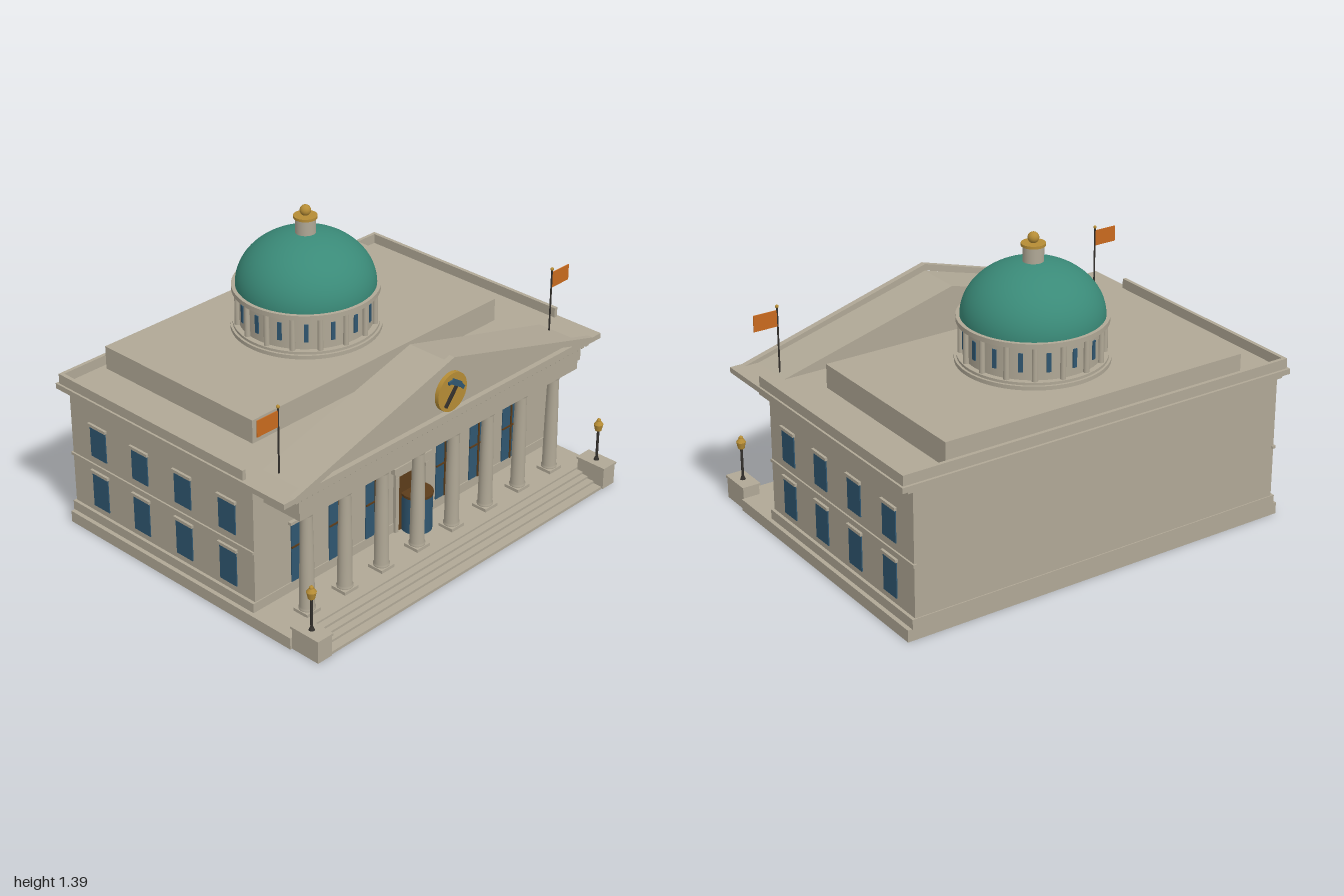
import * as THREE from 'three';

const paint = (name, color) => {
  const m = new THREE.MeshStandardMaterial({ color });
  m.name = name;
  return m;
};

export function createModel() {
  const model = new THREE.Group();
  model.name = 'domedBuilding';
  const stone = paint('stone', 0xb0a896);
  const copper = paint('green copper', 0x3a8a78);
  const glass = paint('blue glass', 0x2f5670);
  const gold = paint('gold', 0xb58c35);
  const wood = paint('brown wood', 0x5c3c1a);
  const iron = paint('dark iron', 0x33302c);
  const cloth = paint('orange cloth', 0xc86a1e);

  const add = (name, geo, mat, x = 0, y = 0, z = 0) => {
    const mesh = new THREE.Mesh(geo, mat);
    mesh.name = name;
    mesh.position.set(x, y, z);
    model.add(mesh);
    return mesh;
  };
  // Box given by its limits on each axis
  const box = (name, mat, x0, x1, y0, y1, z0, z1) =>
    add(name, new THREE.BoxGeometry(x1 - x0, y1 - y0, z1 - z0), mat, (x0 + x1) / 2, (y0 + y1) / 2, (z0 + z1) / 2);
  // Upright cylinder from y0 to y1
  const cyl = (name, mat, rBottom, rTop, x, y0, y1, z, sides = 24) =>
    add(name, new THREE.CylinderGeometry(rTop, rBottom, y1 - y0, sides), mat, x, (y0 + y1) / 2, z);
  const ball = (name, mat, r, x, y, z) => add(name, new THREE.SphereGeometry(r, 20, 14), mat, x, y, z);

  // Base and main block
  box('platform', stone, -0.975, 0.975, 0, 0.055, -0.76, 0.625);
  box('plinth', stone, -0.955, 0.955, 0.055, 0.1, -0.765, 0.39);
  box('walls', stone, -0.94, 0.94, 0.1, 0.68, -0.76, 0.385);
  box('cornice', stone, -0.998, 0.998, 0.685, 0.71, -0.777, 0.625);
  box('corniceBed', stone, -0.965, 0.965, 0.67, 0.685, -0.765, 0.605);

  // Front steps
  [0.66, 0.69, 0.725, 0.77].forEach((z, i) =>
    box('step', stone, -0.88, 0.88, 0, 0.046 - i * 0.011, 0.62, z));

  // Roof parapet and attic
  for (const s of [-1, 1]) {
    const xs = [s * 0.97, s * 0.988].sort((a, b) => a - b);
    box('sideParapet', stone, ...xs, 0.71, 0.757, -0.765, 0.38);
  }
  box('backParapet', stone, -0.97, 0.97, 0.71, 0.757, -0.765, -0.748);
  box('attic', stone, -0.76, 0.76, 0.71, 0.82, -0.72, 0.2);

  // Side windows with lintels and sills, and the string course
  for (const s of [-1, 1]) {
    const side = (name, mat, out, y0, y1, z0, z1) =>
      box(name, mat, s > 0 ? 0.93 : -0.94 - out, s > 0 ? 0.94 + out : -0.93, y0, y1, z0, z1);
    side('stringCourse', stone, 0.008, 0.335, 0.348, -0.767, 0.385);
    for (const z of [0.23, -0.04, -0.31, -0.58]) {
      for (const [y0, y1] of [[0.13, 0.3], [0.385, 0.535]]) {
        side('sideWindow', glass, 0.005, y0, y1, z - 0.05, z + 0.05);
        side('windowLintel', stone, 0.012, y1, y1 + 0.014, z - 0.057, z + 0.057);
      }
    }
  }

  // Tall front windows with glazing bars
  for (const s of [-1, 1]) {
    for (let i = 1; i <= 3; i++) {
      const x = s * i * 0.2246;
      box('frontWindow', glass, x - 0.056, x + 0.056, 0.1, 0.39, 0.38, 0.39);
      box('windowMullion', wood, x - 0.004, x + 0.004, 0.1, 0.39, 0.385, 0.395);
      box('windowTransom', wood, x - 0.056, x + 0.056, 0.268, 0.276, 0.385, 0.394);
      box('frontLintel', stone, x - 0.07, x + 0.07, 0.39, 0.404, 0.38, 0.402);
    }
  }

  // Entrance: panelled doorway and a round glass vestibule
  box('doorPanel', wood, -0.085, 0.085, 0.055, 0.335, 0.38, 0.395);
  for (const s of [-1, 1]) box('doorJamb', stone, s * 0.095 - 0.01, s * 0.095 + 0.01, 0.055, 0.335, 0.38, 0.402);
  box('doorFrieze', stone, -0.105, 0.105, 0.335, 0.36, 0.38, 0.4);
  box('doorCornice', stone, -0.12, 0.12, 0.36, 0.388, 0.38, 0.408);
  cyl('vestibule', glass, 0.07, 0.07, 0, 0.055, 0.232, 0.43, 32);
  cyl('vestibuleCap', wood, 0.073, 0.073, 0, 0.232, 0.244, 0.43, 32);

  // Portico columns
  const shaft = new THREE.LatheGeometry(
    [[0.036, 0.07], [0.037, 0.078], [0.033, 0.084], [0.032, 0.2], [0.03, 0.35], [0.026, 0.525], [0.032, 0.535], [0.034, 0.548]]
      .map(([r, y]) => new THREE.Vector2(r, y)), 24);
  for (let i = 0; i < 8; i++) {
    const x = (i - 3.5) * 0.2246;
    add('columnShaft', shaft, stone, x, 0, 0.535);
    box('columnBase', stone, x - 0.04, x + 0.04, 0.055, 0.07, 0.495, 0.575);
    box('columnCapital', stone, x - 0.037, x + 0.037, 0.548, 0.562, 0.498, 0.572);
  }

  // Entablature with a row of dentils
  box('architrave', stone, -0.88, 0.88, 0.562, 0.615, 0.38, 0.593);
  box('frieze', stone, -0.89, 0.89, 0.608, 0.672, 0.38, 0.6);
  for (let i = 0; i < 60; i++) {
    const x = (i - 29.5) * 0.031;
    box('dentil', stone, x - 0.008, x + 0.008, 0.673, 0.686, 0.6, 0.617);
  }

  // Pediment: roof prism and raking cornice
  const triangle = (Kind, half, base, apex) => {
    const t = new Kind();
    t.moveTo(-half, base);
    t.lineTo(half, base);
    t.lineTo(0, apex);
    t.closePath();
    return t;
  };
  const extrude = (shape, depth) => new THREE.ExtrudeGeometry(shape, { depth, bevelEnabled: false });
  add('pedimentRoof', extrude(triangle(THREE.Shape, 0.89, 0.705, 0.945), 0.225), stone, 0, 0, 0.375);
  const rake = triangle(THREE.Shape, 0.94, 0.71, 0.978);
  rake.holes.push(triangle(THREE.Path, 0.8, 0.719, 0.947));
  add('rakingCornice', extrude(rake, 0.028), stone, 0, 0, 0.597);

  // Round ornament with a plain hammer
  const disc = cyl('ornamentDisc', gold, 0.09, 0.09, 0, 0.8, 0.82, 0.61, 40);
  disc.rotation.x = Math.PI / 2;
  const bar = (name, mat, ax, ay, bx, by, w) => {
    const len = Math.hypot(bx - ax, by - ay);
    const mesh = add(name, new THREE.BoxGeometry(len, w, 0.009), mat, (ax + bx) / 2, (ay + by) / 2, 0.624);
    mesh.rotation.z = Math.atan2(by - ay, bx - ax);
  };
  bar('hammerHandle', iron, -0.048, 0.754, 0.03, 0.848, 0.016);
  bar('hammerHead', glass, -0.008, 0.866, 0.045, 0.832, 0.026);
  bar('hammerPeen', glass, 0.035, 0.842, 0.064, 0.81, 0.016);
  bar('hammerClaw', glass, -0.03, 0.862, 0.004, 0.864, 0.014);

  // Drum with columns and slit windows
  const dz = -0.245;
  cyl('drumBase', stone, 0.337, 0.337, 0, 0.82, 0.838, dz, 64);
  cyl('drumFoot', stone, 0.326, 0.326, 0, 0.838, 0.85, dz, 64);
  cyl('drumWall', stone, 0.3, 0.3, 0, 0.85, 1.0, dz, 64);
  cyl('drumCornice', stone, 0.329, 0.329, 0, 1.003, 1.025, dz, 64);
  for (let i = 0; i < 16; i++) {
    const a = (i * Math.PI) / 8, b = a + Math.PI / 16;
    const slit = add('drumWindow', new THREE.BoxGeometry(0.02, 0.085, 0.009), glass,
      Math.sin(a) * 0.3, 0.928, dz + Math.cos(a) * 0.3);
    slit.rotation.y = a;
    cyl('drumColumn', stone, 0.013, 0.012, Math.sin(b) * 0.308, 0.85, 1.005, dz + Math.cos(b) * 0.308, 12);
  }

  // Dome and lantern
  const dome = add('dome', new THREE.SphereGeometry(0.312, 64, 24, 0, Math.PI * 2, 0, Math.PI / 2), copper, 0, 1.024, dz);
  dome.scale.y = 0.245 / 0.312;
  cyl('lantern', stone, 0.046, 0.046, 0, 1.25, 1.335, dz, 32);
  cyl('lanternCap', gold, 0.053, 0.053, 0, 1.335, 1.347, dz, 32);
  ball('finial', gold, 0.025, 0, 1.37, dz);

  // Mirrored flags, pedestals and lamps
  for (const s of [-1, 1]) {
    const fx = s * 0.85, lx = s * 0.925, lz = 0.7;
    cyl('flagPole', iron, 0.004, 0.004, fx, 0.705, 1.02, 0.447, 10);
    ball('flagPoleBall', gold, 0.008, fx, 1.022, 0.447);
    box('flag', cloth, fx + s * 0.06 - 0.057, fx + s * 0.06 + 0.057, 0.93, 1.005, 0.445, 0.449);

    box('lampPedestal', stone, lx - 0.04, lx + 0.04, 0, 0.102, 0.625, 0.775);
    box('pedestalCap', stone, lx - 0.045, lx + 0.045, 0.1, 0.111, 0.62, 0.78);
    cyl('lampFoot', iron, 0.013, 0.008, lx, 0.111, 0.125, lz, 12);
    cyl('lampPost', iron, 0.006, 0.006, lx, 0.12, 0.27, lz, 10);
    cyl('lampGlobe', gold, 0.015, 0.022, lx, 0.266, 0.298, lz, 16);
    cyl('lampHood', gold, 0.022, 0.01, lx, 0.298, 0.315, lz, 16);
    ball('lampKnob', gold, 0.01, lx, 0.317, lz);
  }
  return model;
}
